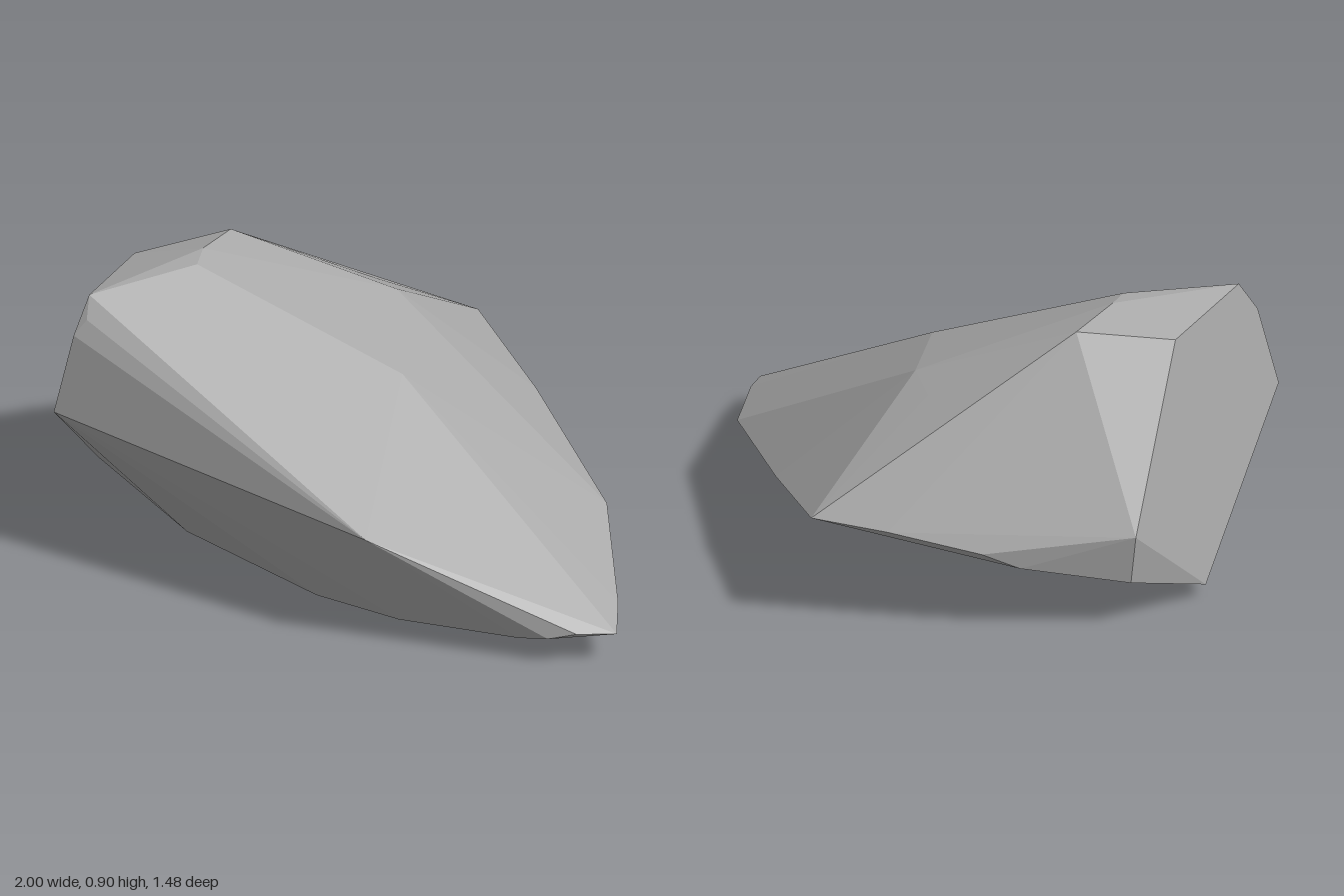
import * as THREE from 'three';
import { ConvexGeometry } from 'three/addons/geometries/ConvexGeometry.js';

export function createModel() {
  const group = new THREE.Group();
  group.name = 'rock';

  const stone = new THREE.MeshStandardMaterial({ color: 0xa8a8a8, flatShading: true });
  stone.name = 'grey stone';

  // Corners of the tilted, nearly flat underside
  const underside = [
    [-1, 0.04, 0.19], [-0.55, 0.02, 0.42], [-0.02, 0, 0.53], [0.3, 0.025, 0.57],
    [0.72, 0.07, 0.55], [-0.97, 0.15, -0.14], [-0.72, 0.21, -0.38],
  ];
  // Corners of the widest outline
  const rim = [
    [-0.86, 0.51, 0.715], [0.28, 0.39, 0.74], [0.82, 0.09, 0.54], [0.9, 0.11, 0.5],
    [1, 0.1, 0.42], [0.93, 0.13, 0.29], [0.67, 0.22, -0.09], [0.19, 0.3, -0.48],
    [-0.17, 0.35, -0.74], [-0.38, 0.32, -0.62], [-0.63, 0.26, -0.46], [-0.99, 0.31, -0.14],
  ];
  // Corners of the crown
  const crown = [
    [-0.81, 0.88, 0.58], [-0.79, 0.82, 0.63], [-0.82, 0.77, 0.66], [-0.86, 0.83, 0.21],
    [-0.63, 0.9, 0.18], [-0.6, 0.895, 0.27], [-0.64, 0.87, -0.01],
    [0.06, 0.62, 0.13], [-0.17, 0.68, -0.23], [-0.28, 0.65, -0.3],
  ];

  const corners = [...underside, ...rim, ...crown].map((p) => new THREE.Vector3(...p));
  const boulder = new THREE.Mesh(new ConvexGeometry(corners), stone);
  boulder.name = 'boulder';
  group.add(boulder);
  return group;
}
